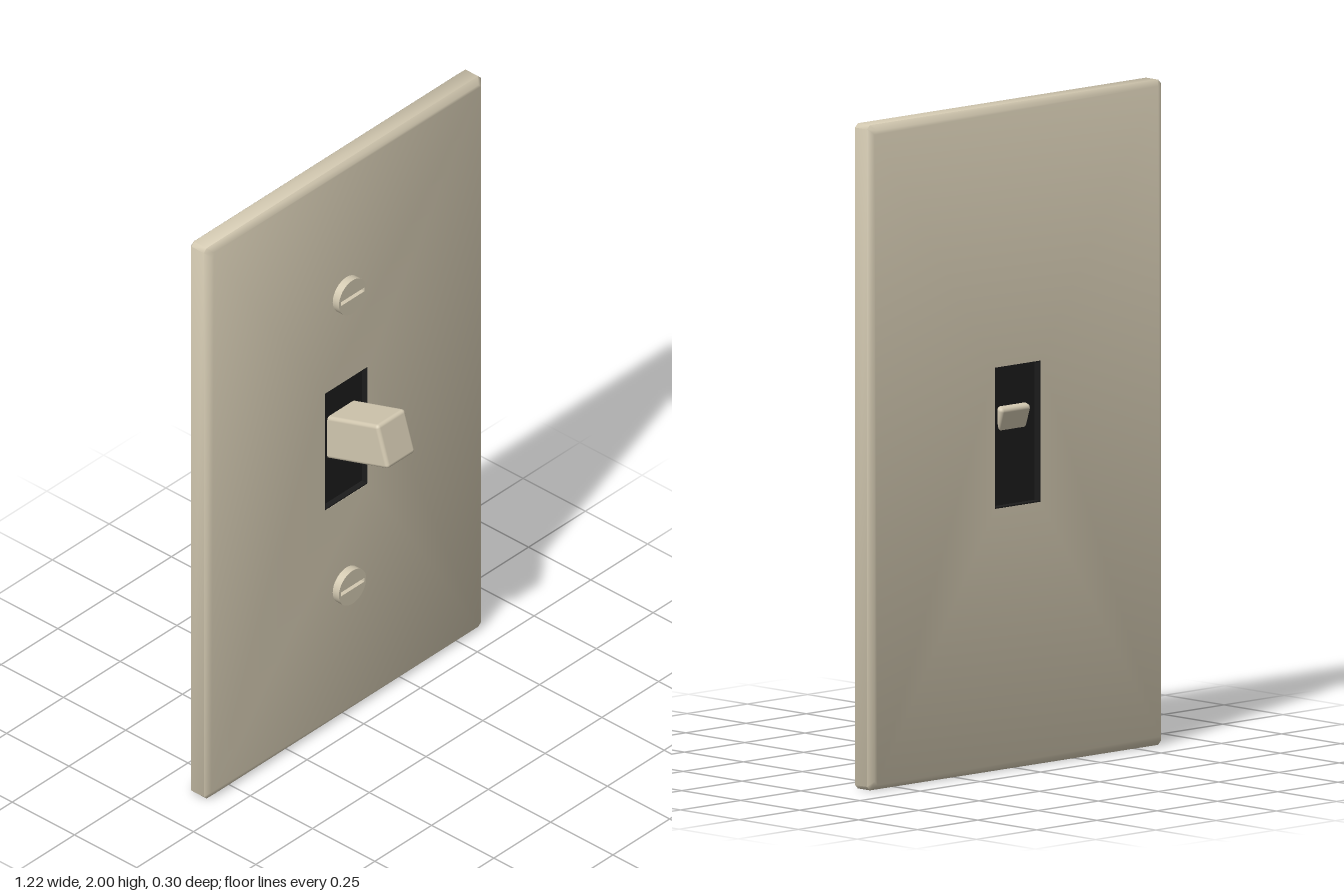
import * as THREE from 'three';
import { toCreasedNormals } from 'three/addons/utils/BufferGeometryUtils.js';
import { RoundedBoxGeometry } from 'three/addons/geometries/RoundedBoxGeometry.js';

const W = 0.61, BACK = -0.153, DEPTH = 0.083, BEVEL = 0.016;
const HOLE = { x0: -0.095, x1: 0.095, y0: 0.79, y1: 1.215 };

const ivory = new THREE.MeshStandardMaterial({ color: 0xd3c9b1 });
const black = new THREE.MeshStandardMaterial({ color: 0x1c1c1c });

function rectPath(PathType, x0, y0, x1, y1, cut = 0) {
  const pts = cut
    ? [[x0 + cut, y0], [x1 - cut, y0], [x1, y0 + cut], [x1, y1 - cut],
       [x1 - cut, y1], [x0 + cut, y1], [x0, y1 - cut], [x0, y0 + cut]]
    : [[x0, y0], [x1, y0], [x1, y1], [x0, y1]];
  return new PathType(pts.map(([x, y]) => new THREE.Vector2(x, y)));
}

function addMesh(parent, name, geometry, material) {
  const mesh = new THREE.Mesh(geometry, material);
  mesh.name = name;
  parent.add(mesh);
  return mesh;
}

// Cover plate with a rectangular opening; only the outer rim is chamfered
function plateGeometry() {
  const shape = rectPath(THREE.Shape, -W, 0, W, 2, 0.012);
  shape.holes.push(rectPath(THREE.Path, HOLE.x0, HOLE.y0, HOLE.x1, HOLE.y1));
  const geo = new THREE.ExtrudeGeometry(shape, { depth: 3, steps: 3, bevelEnabled: false });
  const layers = [0, BEVEL, DEPTH - BEVEL, DEPTH];
  const p = geo.attributes.position;
  for (let i = 0; i < p.count; i++) {
    const layer = Math.round(p.getZ(i));
    let x = p.getX(i), y = p.getY(i);
    if ((layer === 0 || layer === 3) && Math.abs(x) > 0.5) {
      x *= (W - BEVEL) / W;
      y = 1 + (y - 1) * (1 - BEVEL);
    }
    p.setXYZ(i, x, y, BACK + layers[layer]);
  }
  return toCreasedNormals(geo, 0.95);
}

// Slotted screw head
function screwGeometry() {
  const shape = new THREE.Shape().absarc(0, 0, 0.06, 0, Math.PI * 2);
  shape.holes.push(rectPath(THREE.Path, -0.052, -0.007, 0.052, 0.007));
  const geo = new THREE.ExtrudeGeometry(shape, { depth: 0.035, bevelEnabled: false, curveSegments: 16 });
  return toCreasedNormals(geo, 0.6);
}

export function createModel() {
  const model = new THREE.Group();
  model.name = 'lightSwitch';

  addMesh(model, 'coverPlate', plateGeometry(), ivory);

  // Dark lining of the opening and the panel across it
  const lining = rectPath(THREE.Shape, HOLE.x0 - 0.001, HOLE.y0 - 0.001, HOLE.x1 + 0.001, HOLE.y1 + 0.001);
  lining.holes.push(rectPath(THREE.Path, HOLE.x0 + 0.004, HOLE.y0 + 0.004, HOLE.x1 - 0.004, HOLE.y1 - 0.004));
  const liningGeo = new THREE.ExtrudeGeometry(lining, { depth: DEPTH - 0.002, bevelEnabled: false });
  addMesh(model, 'openingLining', liningGeo, black).position.z = BACK + 0.001;

  const panel = new THREE.BoxGeometry(HOLE.x1 - HOLE.x0, HOLE.y1 - HOLE.y0, 0.04);
  addMesh(model, 'switchPanel', panel, black).position.set(0, (HOLE.y0 + HOLE.y1) / 2, -0.11);

  // Toggle lever, tilted up and reaching through the panel
  const lever = addMesh(model, 'toggleLever', new RoundedBoxGeometry(0.125, 0.145, 0.275, 2, 0.012), ivory);
  lever.position.set(0, 1.057, 0.002);
  lever.rotation.x = -0.305;

  // Screws above and below the lever
  for (const [name, y, turn] of [['upperScrew', 1.53, 0], ['lowerScrew', 0.475, Math.PI]]) {
    const screw = addMesh(model, name, screwGeometry(), ivory);
    screw.position.set(0, y, -0.08);
    screw.rotation.z = turn;
  }

  return model;
}
